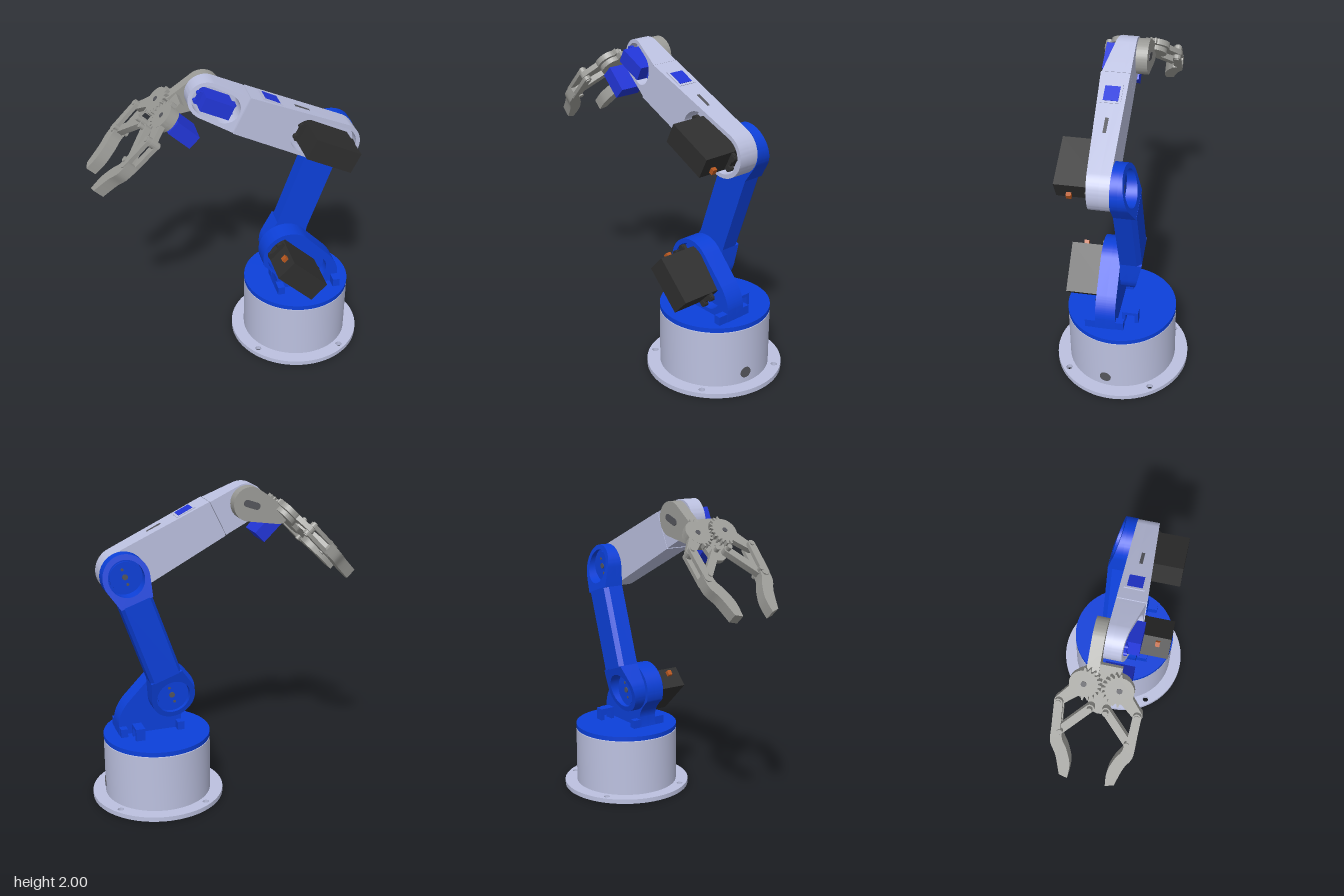
import * as THREE from 'three';
import { toCreasedNormals } from 'three/addons/utils/BufferGeometryUtils.js';

const paint = (color) => new THREE.MeshStandardMaterial({ color });
const GREY = paint(0xbcc1e0), BLUE = paint(0x0c40da), BLACK = paint(0x2e2e2e);
const SERVO_BLUE = paint(0x2236d8), STEEL = paint(0x9c9c98), DARK = paint(0x55565c), ORANGE = paint(0xb5561e);

function add(parent, name, geometry, material, x = 0, y = 0, z = 0) {
  const mesh = new THREE.Mesh(geometry, material);
  mesh.name = name;
  mesh.position.set(x, y, z);
  parent.add(mesh);
  return mesh;
}

function frame(parent, name, x, y, z, turn = 0) {
  const g = new THREE.Group();
  g.name = name;
  g.position.set(x, y, z);
  g.rotation.z = turn;
  parent.add(g);
  return g;
}

const box = (parent, name, m, w, h, d, x, y, z) => add(parent, name, new THREE.BoxGeometry(w, h, d), m, x, y, z);

// disc whose axis runs along local z
const disc = (parent, name, m, r, depth, x, y, z) =>
  add(parent, name, new THREE.CylinderGeometry(r, r, depth, 32).rotateX(Math.PI / 2), m, x, y, z);

// outline wrapped around two circles
function hull(x0, y0, r0, x1, y1, r1, S = THREE.Shape) {
  const p = Math.atan2(y1 - y0, x1 - x0);
  const a = Math.acos((r0 - r1) / Math.hypot(x1 - x0, y1 - y0));
  const s = new S();
  s.absarc(x0, y0, r0, p + a, p + 2 * Math.PI - a, false);
  s.absarc(x1, y1, r1, p - a, p + a, false);
  s.closePath();
  return s;
}

// round end at the origin running to a straight cut at x = length
function roundEnd(r, length, half) {
  const a = Math.acos((r - half) / length);
  const s = new THREE.Shape();
  s.absarc(0, 0, r, a, 2 * Math.PI - a, false);
  s.lineTo(length, -half);
  s.lineTo(length, half);
  s.closePath();
  return s;
}

function circle(r, x = 0, y = 0, S = THREE.Path) {
  const s = new S();
  s.absarc(x, y, r, 0, Math.PI * 2, false);
  return s;
}

// plate between two z levels; each level may be a function of x
function slab(parent, name, m, shape, back, front, hole) {
  if (hole) shape.holes.push(hole);
  const g = new THREE.ExtrudeGeometry(shape, { depth: 1, bevelEnabled: false, curveSegments: 24 });
  const at = (f, x) => (typeof f === 'function' ? f(x) : f);
  const p = g.attributes.position;
  for (let i = 0; i < p.count; i++) {
    const x = p.getX(i);
    p.setZ(i, THREE.MathUtils.lerp(at(back, x), at(front, x), p.getZ(i)));
  }
  return add(parent, name, toCreasedNormals(g, 0.6), m);
}

const ramp = (x0, v0, x1, v1) => (x) => v0 + ((x - x0) / (x1 - x0)) * (v1 - v0);

// motor block with four mounting lugs
function servo(parent, name, m, x, y, turn, len, wid, z0, z1, lugZ) {
  const s = frame(parent, name, x, y, 0, turn);
  box(s, 'motorCase', m, len, wid, z1 - z0, 0, 0, (z0 + z1) / 2);
  for (const ex of [-1, 1]) {
    box(s, 'mountingTab', m, 0.03, wid * 0.9, 0.02, ex * (len / 2 + 0.01), 0, lugZ);
    for (const ey of [-1, 1]) disc(s, 'mountingLug', m, wid * 0.14, 0.03, ex * (len / 2 + 0.022), ey * wid * 0.28, lugZ);
  }
  return s;
}

const cablePlug = (s, len) => box(s, 'cablePlug', ORANGE, 0.025, 0.035, 0.03, -len / 2 - 0.012, 0.03, 0.25);

// back-facing joint cap: solid web, open rim and horn disc
function jointCap(parent, x, turn) {
  const c = frame(parent, 'jointCap', x, 0, 0, turn);
  slab(c, 'jointWeb', BLUE, roundEnd(0.145, 0.16, 0.105), -0.045, 0);
  slab(c, 'jointRim', BLUE, roundEnd(0.145, 0.16, 0.105), ramp(-0.145, -0.065, 0.16, -0.135), -0.045, circle(0.112));
  disc(c, 'hornDisc', BLUE, 0.095, 0.014, 0, 0, -0.05);
  disc(c, 'hornScrew', DARK, 0.018, 0.01, 0, 0, -0.057);
  for (const s of [-1, 1]) disc(c, 'hornScrew', DARK, 0.009, 0.01, 0.05 * s, 0, -0.054);
}

function buildBase(root) {
  const base = frame(root, 'base', 0.445, 0, 0);
  const flange = circle(0.425, 0, 0, THREE.Shape);
  // underside opening, closed by a straight edge at the rear
  const opening = new THREE.Path();
  opening.absarc(0, 0, 0.31, Math.PI - 0.79, 2 * Math.PI + 0.79, false);
  opening.closePath();
  flange.holes.push(opening);
  for (let i = 0; i < 4; i++) {
    const a = Math.PI / 4 + (i * Math.PI) / 2;
    flange.holes.push(circle(0.02, 0.385 * Math.cos(a), 0.385 * Math.sin(a)));
  }
  const ring = new THREE.ExtrudeGeometry(flange, { depth: 0.03, bevelEnabled: false, curveSegments: 48 });
  add(base, 'flange', toCreasedNormals(ring.rotateX(-Math.PI / 2), 0.6), GREY);
  const wall = [[0, 0.375], [0.32, 0.375], [0.32, 0.02], [0.343, 0.02], [0.343, 0.4], [0, 0.4]];
  const drum = new THREE.LatheGeometry(wall.map(([r, y]) => new THREE.Vector2(r, y)), 64);
  add(base, 'drum', toCreasedNormals(drum, 0.6), GREY);
  const port = add(base, 'cablePort', new THREE.CylinderGeometry(0.036, 0.036, 0.02, 24), DARK, 0.335, 0.1, 0);
  port.rotation.z = Math.PI / 2;
  box(base, 'baseMotor', BLACK, 0.31, 0.25, 0.14, 0.06, 0.25, 0.06);
}

function buildShoulder(turret) {
  add(turret, 'turntable', new THREE.CylinderGeometry(0.343, 0.343, 0.03, 64), BLUE, 0, 0.42, 0);
  const b = frame(turret, 'shoulderBracket', -0.09, 0.69, 0);
  const outline = () => {
    const s = new THREE.Shape();
    s.moveTo(-0.085, -0.262);
    s.lineTo(0.34, -0.262);
    s.lineTo(0.34, -0.18);
    s.quadraticCurveTo(0.335, -0.11, 0.275, -0.04);
    s.lineTo(0.125, 0.115);
    s.absarc(0, 0, 0.17, 0.743, 3.5, false);
    s.quadraticCurveTo(-0.075, -0.13, -0.075, -0.19);
    s.closePath();
    return s;
  };
  slab(b, 'bracketWeb', BLUE, outline(), 0, 0.06);
  slab(b, 'bracketRim', BLUE, outline(), 0.06, 0.125, hull(0, 0, 0.14, 0.16, -0.13, 0.1, THREE.Path));
  cablePlug(servo(b, 'shoulderServo', BLACK, 0.035, -0.055, -0.76, 0.31, 0.145, 0.05, 0.335, 0.13), 0.31);
  // feet and gussets on the turntable
  for (const x of [-0.06, 0.315]) {
    box(b, 'bracketFoot', BLUE, 0.045, 0.06, 0.07, x, -0.23, 0.155);
    box(b, 'rearFoot', BLUE, 0.045, 0.06, 0.06, x, -0.23, -0.02);
  }
  // small cable arch behind the bracket
  for (const z of [-0.04, -0.12]) box(turret, 'cableArchPost', BLUE, 0.06, 0.075, 0.022, 0.14, 0.47, z);
  box(turret, 'cableArchTop', BLUE, 0.06, 0.02, 0.102, 0.14, 0.504, -0.08);
}

function buildUpperArm(turret) {
  const arm = frame(turret, 'upperArm', -0.09, 0.69, 0, Math.atan2(0.805, 0.28));
  const length = 0.852;
  jointCap(arm, 0, 0);
  jointCap(arm, length, Math.PI);
  // beam with chamfered rear edges, drawn in section and extruded along the arm
  const section = [[0, -0.105], [0, 0.105], [-0.105, 0.105], [-0.135, 0.085], [-0.135, -0.085], [-0.105, -0.105]];
  const shape = new THREE.Shape(section.map(([z, y]) => new THREE.Vector2(-z, y)));
  const beam = new THREE.ExtrudeGeometry(shape, { depth: length - 0.31, bevelEnabled: false });
  add(arm, 'armBeam', beam.rotateY(Math.PI / 2), BLUE, 0.155, 0, 0);
}

function buildForearm(turret) {
  const arm = frame(turret, 'forearm', 0.187, 1.495, 0, Math.PI - Math.atan2(0.39, 0.797));
  const length = 0.887, seam = 0.677;
  // elbow body with motor pocket
  slab(arm, 'forearmWeb', GREY, roundEnd(0.143, seam, 0.122), 0, 0.06);
  slab(arm, 'forearmBody', GREY, roundEnd(0.143, seam, 0.122), 0.06, ramp(-0.143, 0.13, seam, 0.175),
    hull(0, 0, 0.118, 0.22, 0, 0.11, THREE.Path));
  cablePlug(servo(arm, 'elbowServo', BLACK, 0.098, 0, 0, 0.31, 0.135, 0.04, 0.33, 0.13), 0.31);
  box(arm, 'topWindowFrame', GREY, 0.13, 0.02, 0.12, 0.525, -0.122, 0.085);
  box(arm, 'topWindowMotor', SERVO_BLUE, 0.1, 0.02, 0.09, 0.525, -0.124, 0.085);
  box(arm, 'topSlot', DARK, 0.12, 0.01, 0.02, 0.3, -0.13, 0.085);
  // wrist housing, thinner towards its end
  const wrist = frame(arm, 'wristHousing', length, 0, 0, Math.PI);
  const cut = length - seam - 0.004;
  slab(wrist, 'wristWeb', GREY, roundEnd(0.115, cut, 0.119), 0, 0.04);
  slab(wrist, 'wristRim', GREY, roundEnd(0.115, cut, 0.119), 0.04, ramp(-0.115, 0.1, cut, 0.17),
    hull(0, 0, 0.093, 0.1, 0, 0.093, THREE.Path));
  servo(wrist, 'wristServo', SERVO_BLUE, 0.045, 0, 0, 0.185, 0.09, 0.03, 0.19, 0.11);
}

// round gear blank with teeth only on the side facing the other gear
function gearShape(teeth, r, s) {
  const pts = [];
  for (let i = 0; i < teeth * 4; i++) {
    const a = (i / (teeth * 4)) * Math.PI * 2;
    const tooth = i % 4 < 2 ? r + 0.01 : r - 0.01;
    const q = s * Math.sin(a) < 0.2 ? tooth : r - 0.008;
    pts.push(new THREE.Vector2(q * Math.cos(a), s * 0.1 + q * Math.sin(a)));
  }
  return new THREE.Shape(pts);
}

function buildGripper(turret) {
  const hand = frame(turret, 'gripper', -0.608, 1.885, 0, 3.945);
  slab(hand, 'wristPlate', STEEL, hull(0, 0, 0.107, 0.19, -0.085, 0.06), -0.075, -0.005);
  slab(hand, 'wristPlateSlot', DARK, hull(-0.02, 0.01, 0.022, 0.04, -0.02, 0.022), -0.079, -0.07);
  box(hand, 'gripperServo', SERVO_BLUE, 0.09, 0.17, 0.17, 0.235, 0.01, 0.09);
  // claw plane: x forward, y across, z upward
  const claw = frame(hand, 'claw', 0.228, -0.092, 0.025);
  claw.rotation.x = Math.PI / 2;
  slab(claw, 'palmPlate', STEEL, hull(0, -0.09, 0.078, 0, 0.09, 0.078), 0, 0.03);
  slab(claw, 'palmNose', STEEL, hull(0, 0, 0.085, 0.12, 0, 0.065), 0.001, 0.029);
  box(claw, 'palmNeck', STEEL, 0.09, 0.19, 0.03, -0.075, 0, 0.015);
  for (const s of [-1, 1]) {
    const finger = frame(claw, s > 0 ? 'leftFinger' : 'rightFinger', 0, 0, 0);
    slab(finger, 'gear', STEEL, gearShape(20, 0.09, s), 0.035, 0.07);
    slab(finger, 'gearArm', STEEL, hull(0, s * 0.1, 0.045, 0.13, s * 0.22, 0.028), 0.036, 0.069);
    disc(finger, 'gearScrew', DARK, 0.016, 0.004, 0, s * 0.1, 0.071);
    for (const z of [0.01, 0.07]) {
      slab(finger, 'fingerBar', STEEL, hull(0.13, s * 0.22, 0.024, 0.33, s * 0.212, 0.026), z, z + 0.025);
    }
    slab(finger, 'innerLink', STEEL, hull(0.14, s * 0.045, 0.024, 0.31, s * 0.19, 0.024), 0.032, 0.073);
    for (const [x, y] of [[0.13, 0.22], [0.14, 0.045], [0.31, 0.19]]) {
      disc(finger, 'pivotPin', STEEL, 0.016, 0.1, x, s * y, 0.052);
    }
    // curved fingertip
    const v = (list) => list.map(([x, y]) => new THREE.Vector2(x, s * y));
    const tip = new THREE.Shape();
    tip.moveTo(0.3, s * 0.24);
    tip.splineThru(v([[0.39, 0.235], [0.47, 0.195], [0.59, 0.16]]));
    tip.lineTo(0.605, s * 0.11);
    tip.splineThru(v([[0.51, 0.108], [0.42, 0.137], [0.36, 0.17], [0.3, 0.18]]));
    tip.closePath();
    slab(finger, 'fingertip', STEEL, tip, 0.016, 0.088);
  }
}

export function createModel() {
  const root = new THREE.Group();
  root.name = 'roboticArm';
  buildBase(root);
  const turret = frame(root, 'turret', 0.445, 0, 0);
  turret.rotation.y = 0.15;
  buildShoulder(turret);
  buildUpperArm(turret);
  buildForearm(turret);
  buildGripper(turret);
  return root;
}
